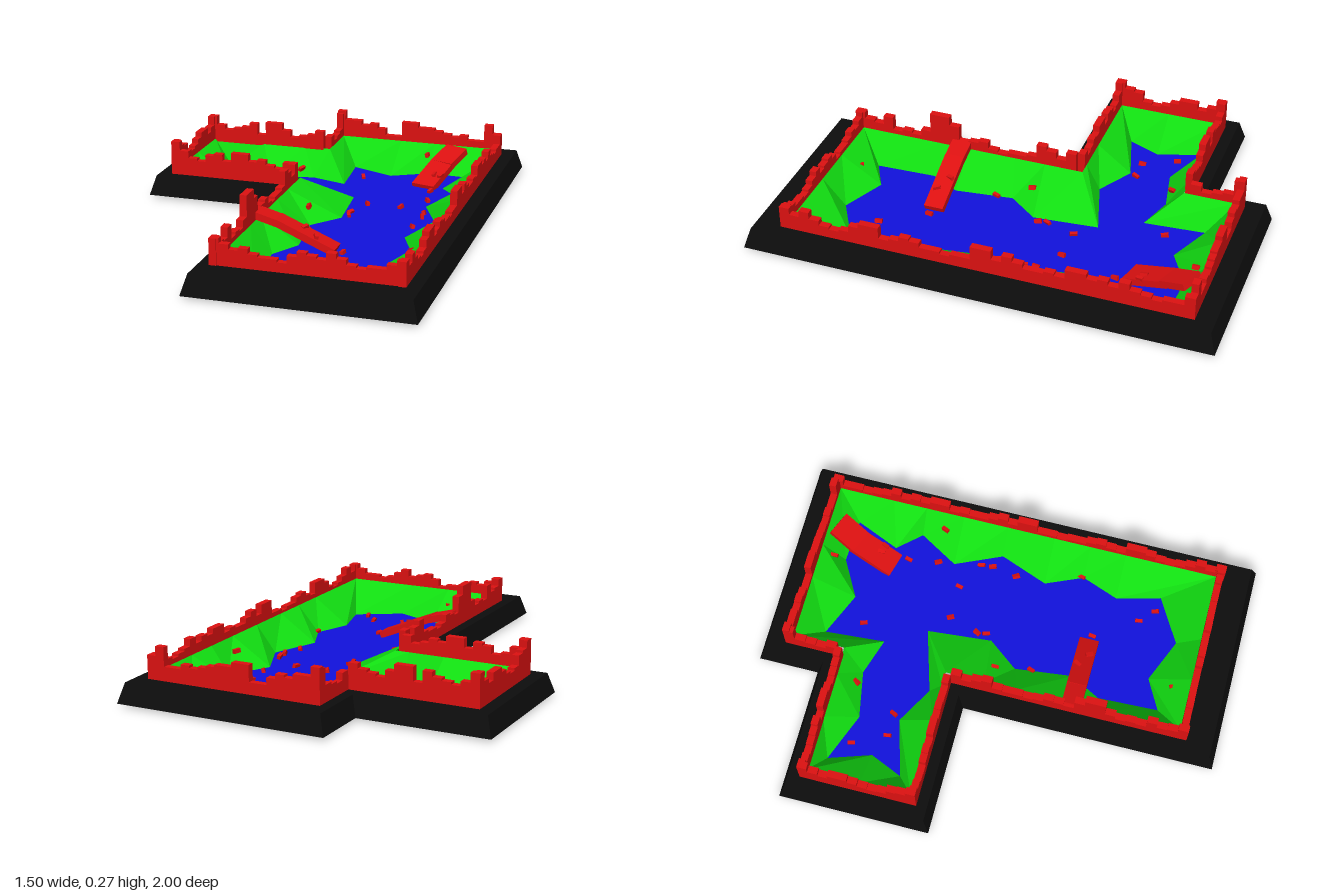
import * as THREE from 'three';

const mat = (color) => new THREE.MeshStandardMaterial({ color, flatShading: true, side: THREE.DoubleSide });
const red = mat(0xdd1111), green = mat(0x11dd11), blue = mat(0x1111dd), black = mat(0x0d0d0d);

const BED = 0.015, RIM = 0.13; // water level and top of the banks

function add(group, name, geometry, material) {
  const m = new THREE.Mesh(geometry, material);
  m.name = name;
  group.add(m);
  return m;
}

// Faceted surface through closed loops of [x, y, z] points
function loft(loops) {
  const p = [];
  for (let k = 0; k + 1 < loops.length; k++) {
    const A = loops[k], B = loops[k + 1], n = A.length;
    for (let i = 0; i < n; i++) {
      const j = (i + 1) % n;
      p.push(...A[i], ...B[i], ...A[j], ...A[j], ...B[i], ...B[j]);
    }
  }
  const g = new THREE.BufferGeometry();
  g.setAttribute('position', new THREE.Float32BufferAttribute(p, 3));
  g.computeVertexNormals();
  return g;
}

// Plan outline: main court with a side arm towards -x
const plan = (y, armX, leftX, rightX, backZ, armBackZ, armFrontZ, frontZ) => [
  [leftX, y, backZ], [rightX, y, backZ], [rightX, y, frontZ], [leftX, y, frontZ],
  [leftX, y, armFrontZ], [armX, y, armFrontZ], [armX, y, armBackZ], [leftX, y, armBackZ],
];

// Row of wall blocks of uneven height (in hundredths) between two plan points
function wall(group, name, [x0, z0], [x1, z1], heights) {
  const g = new THREE.Group();
  g.name = name;
  const n = heights.length, dx = (x1 - x0) / n, dz = (z1 - z0) / n, low = 0.075;
  heights.forEach((h, i) => {
    const top = h / 100;
    const b = add(g, 'wallBlock', new THREE.BoxGeometry(Math.abs(dx) || 0.03, top - low, Math.abs(dz) || 0.03), red);
    b.position.set(x0 + dx * (i + 0.5), (top + low) / 2, z0 + dz * (i + 0.5));
  });
  group.add(g);
}

// Flat slab laid between two points
function slab(group, name, a, b, width, thick) {
  const A = new THREE.Vector3(...a), B = new THREE.Vector3(...b);
  const m = add(group, name, new THREE.BoxGeometry(width, thick, A.distanceTo(B)), red);
  m.position.copy(A).add(B).multiplyScalar(0.5);
  m.lookAt(B);
}

export function createModel() {
  const model = new THREE.Group();
  model.name = 'ruinedCourt';

  // Sloped black frame, open in the middle
  const bottom = plan(0.015, -0.75, -0.18, 0.75, -1, -0.74, -0.09, 1);
  const hole = (y) => plan(y, -0.655, -0.095, 0.655, -0.88, -0.65, -0.175, 0.845);
  add(model, 'baseFrame', loft([
    bottom,
    plan(0.1, -0.725, -0.155, 0.725, -0.975, -0.715, -0.115, 0.975),
    hole(0.1), hole(0.015), bottom,
  ]), black);

  // Shoreline points, each paired with the point above it at the wall
  const shore = [
    [0.01, -0.76, -0.08, -0.865], [0.2, -0.68, 0.2, -0.865], [0.36, -0.77, 0.36, -0.865],
    [0.55, -0.76, 0.64, -0.865], [0.47, -0.57, 0.64, -0.62], [0.56, -0.47, 0.64, -0.47],
    [0.46, -0.3, 0.64, -0.3], [0.55, -0.1, 0.64, -0.1], [0.47, 0.11, 0.64, 0.11],
    [0.54, 0.27, 0.64, 0.27], [0.48, 0.43, 0.64, 0.43], [0.53, 0.62, 0.64, 0.83],
    [0.34, 0.73, 0.34, 0.83], [0.15, 0.65, 0.15, 0.83], [0.02, 0.72, -0.08, 0.83],
    [0.01, 0.46, -0.08, 0.46], [0.08, 0.33, -0.08, 0.33], [0.05, 0.08, -0.08, 0.12],
    [0.15, -0.05, -0.08, -0.02], [0.125, -0.33, -0.08, -0.19], [-0.14, -0.25, -0.14, -0.19],
    [-0.3, -0.34, -0.3, -0.19], [-0.54, -0.27, -0.64, -0.19], [-0.48, -0.41, -0.64, -0.41],
    [-0.54, -0.59, -0.64, -0.64], [-0.33, -0.51, -0.4, -0.64], [-0.13, -0.55, -0.2, -0.64],
    [0.03, -0.5, -0.08, -0.64],
  ];
  add(model, 'grassBanks', loft([
    shore.map((s) => [s[2], RIM, s[3]]),
    shore.map((s) => [s[0], BED, s[1]]),
  ]), green);

  // Water surface
  const water = new THREE.ShapeGeometry(new THREE.Shape(shore.map((s) => new THREE.Vector2(s[0], -s[1]))));
  add(model, 'water', water.rotateX(-Math.PI / 2).translate(0, BED, 0), blue);

  // Ragged walls
  wall(model, 'backWall', [-0.11, -0.88], [0.67, -0.88],
    [25, 21, 21, 19, 20, 18, 15, 15, 22, 22, 20, 20, 19, 18, 17, 18, 16, 16, 24, 20]);
  wall(model, 'frontWall', [-0.11, 0.845], [0.67, 0.845],
    [21, 19, 17, 18, 16, 15, 15, 14, 17, 19, 18, 17, 20, 18, 16, 15, 16, 16, 18, 20]);
  wall(model, 'leftWall', [0.655, -0.895], [0.655, 0.865],
    [20, 16, 16, 15, 16, 17, 20, 17, 19, 18, 20, 20, 16, 17, 16, 16, 18, 20, 17, 21,
      21, 15, 15, 14, 15, 15, 17, 18, 16, 15, 20, 20, 18, 15, 14, 15, 17, 20, 17, 20]);
  wall(model, 'rightWall', [-0.095, -0.16], [-0.095, 0.865],
    [21, 17, 20, 22, 16, 15, 15, 14, 15, 18, 17, 16, 23, 27, 27, 18, 15, 16, 15, 21, 17, 18, 21]);
  wall(model, 'rightBackWall', [-0.095, -0.895], [-0.095, -0.665], [24, 17, 16, 15, 18]);
  wall(model, 'armBackWall', [-0.67, -0.65], [-0.11, -0.65],
    [24, 20, 18, 19, 20, 22, 17, 23, 23, 20, 17, 18, 19, 21]);
  wall(model, 'armFrontWall', [-0.67, -0.175], [-0.11, -0.175],
    [25, 21, 18, 17, 20, 21, 18, 22, 22, 19, 20, 18, 17, 20]);
  wall(model, 'armEndWall', [-0.655, -0.665], [-0.655, -0.16],
    [24, 20, 18, 21, 21, 19, 17, 16, 17, 21, 22, 25]);

  // Fallen slabs leading from the walls down to the water
  slab(model, 'sideRamp', [-0.1, 0.155, 0.362], [0.01, 0.125, 0.362], 0.085, 0.03);
  slab(model, 'sideRamp', [0.0, 0.13, 0.362], [0.25, 0.025, 0.362], 0.085, 0.03);
  slab(model, 'backRamp', [0.385, 0.018, -0.55], [0.435, 0.085, -0.74], 0.11, 0.03);
  slab(model, 'backRamp', [0.43, 0.08, -0.72], [0.475, 0.125, -0.83], 0.11, 0.03);

  // Scattered rubble: x, z, height
  const rubble = [
    [0.34, -0.81, 0.09], [0.09, -0.61, 0.02], [-0.19, -0.56, 0.05], [-0.45, -0.51, 0.02],
    [-0.38, -0.37, 0.02], [-0.28, -0.37, 0.02], [0.21, -0.25, 0.02], [0.36, -0.25, 0.02],
    [0.43, -0.5, 0.02], [0.45, -0.37, 0.02], [0.58, -0.37, 0.09], [0.48, -0.18, 0.03],
    [0.485, -0.13, 0.03], [0.17, -0.12, 0.02], [0.175, -0.08, 0.02], [0.02, 0.0, 0.07],
    [0.06, 0.15, 0.02], [0.47, -0.02, 0.02], [0.54, 0.26, 0.02], [0.28, 0.37, 0.02],
    [0.17, 0.38, 0.08], [0.11, 0.34, 0.1], [0.4, 0.55, 0.02], [0.46, 0.61, 0.02],
    [0.46, 0.75, 0.06], [0.12, 0.76, 0.075], [0.42, -0.62, 0.06], [0.45, -0.61, 0.06],
  ];
  rubble.forEach(([x, z, y], i) => {
    const r = add(model, 'rubble', new THREE.BoxGeometry(0.015, 0.018, 0.032), red);
    r.position.set(x, y, z);
    r.rotation.set(0.2 * Math.sin(i), 0.5 * Math.sin(i * 2.3), 0.3 * Math.cos(i * 1.7));
  });

  return model;
}
